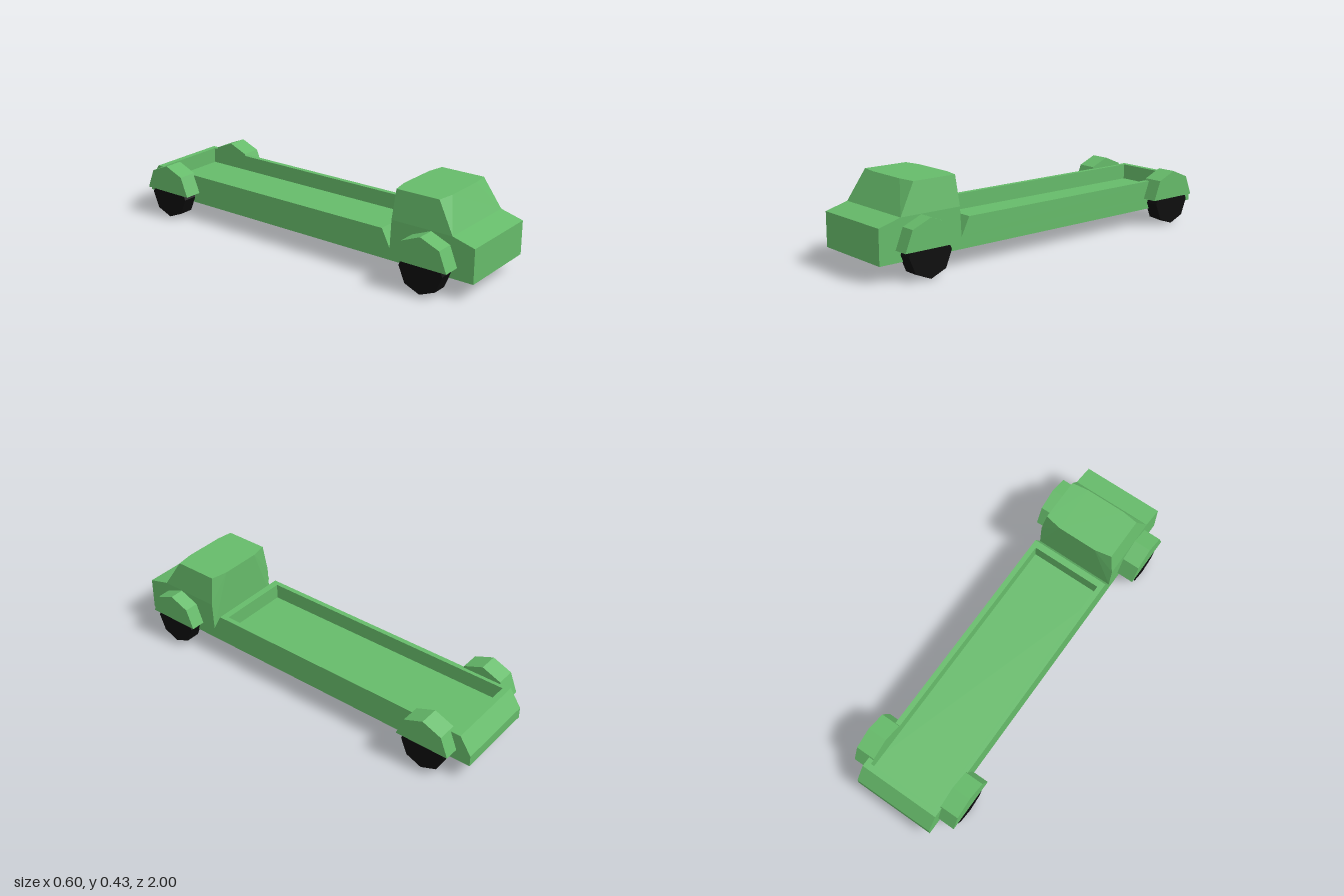
import * as THREE from 'three';
import { ConvexGeometry } from 'three/addons/geometries/ConvexGeometry.js';

const paint = new THREE.MeshStandardMaterial({ color: 0x66bb6a, flatShading: true });
const rubber = new THREE.MeshStandardMaterial({ color: 0x0d0d0d, flatShading: true });

// Body sides (the body sits slightly off centre)
const LEFT = 0.223, RIGHT = -0.207, MID = 0.008;

// Extrudes a side profile of [z, y] points across the width from x0 to x1
function acrossX(profile, x0, x1) {
  const shape = new THREE.Shape(profile.map(([z, y]) => new THREE.Vector2(z, y)));
  const geo = new THREE.ExtrudeGeometry(shape, { depth: x1 - x0, bevelEnabled: false });
  return geo.rotateY(-Math.PI / 2).translate(x1, 0, 0);
}

export function createModel() {
  const model = new THREE.Group();
  const add = (parent, name, geo, mat = paint) => {
    const mesh = new THREE.Mesh(geo, mat);
    mesh.name = name;
    parent.add(mesh);
    return mesh;
  };

  // Chassis with hood at the front and the bed floor behind
  add(model, 'chassisAndHood', acrossX([
    [1, 0.083], [1, 0.252], [0.885, 0.283], [0.87, 0.14], [0.475, 0.14], [0.475, 0.15],
    [-0.91, 0.15], [-0.91, 0.14], [-1, 0.14], [-1, 0.083],
  ], RIGHT, LEFT));

  // Cab: straight lower walls, tapering to a roof with bowed front and back edges
  const pts = [];
  for (const s of [-1, 1]) {
    const p = (x, y, z) => pts.push(new THREE.Vector3(MID + s * x, y, z));
    p(0.215, 0.14, 0.555);
    p(0.215, 0.14, 0.885);
    p(0.215, 0.283, 0.562);
    p(0.215, 0.283, 0.885);
    p(0.192, 0.428, 0.57);
    p(0.192, 0.428, 0.798);
    p(0.105, 0.428, 0.553);
    p(0.105, 0.428, 0.81);
  }
  add(model, 'cab', new ConvexGeometry(pts));

  // Bed walls around the open bed
  const bed = new THREE.Group();
  bed.name = 'bedWalls';
  model.add(bed);
  const side = [[0.555, 0.14], [0.51, 0.23], [-0.94, 0.23], [-1, 0.14]];
  const innerL = 0.197, innerR = -0.181;
  add(bed, 'leftBedWall', acrossX(side, innerL, LEFT));
  add(bed, 'rightBedWall', acrossX(side, RIGHT, innerR));
  add(bed, 'frontBedWall', acrossX([[0.555, 0.14], [0.51, 0.23], [0.475, 0.23], [0.475, 0.14]], innerR, innerL));
  add(bed, 'tailBedWall', acrossX([[-0.91, 0.14], [-0.91, 0.23], [-0.94, 0.23], [-1, 0.14]], innerR, innerL));

  // Fenders and eight-sided wheels at the four corners
  for (const [end, z] of [['front', 0.775], ['rear', -0.785]]) {
    for (const [name, s] of [['Left', 1], ['Right', -1]]) {
      const arch = [[0.14, 0.14], [0.1, 0.24], [0, 0.281], [-0.1, 0.24], [-0.14, 0.14]]
        .map(([dz, y]) => [z + dz, y]);
      const [x0, x1] = s > 0 ? [0.197, 0.298] : [-0.298, -0.2];
      add(model, `${end}${name}Fender`, acrossX(arch, x0, x1));

      const wheel = new THREE.CylinderGeometry(0.115, 0.115, 0.075, 8).rotateZ(Math.PI / 2);
      add(model, `${end}${name}Wheel`, wheel, rubber).position.set(s * 0.251, 0.116, z);
    }
  }
  return model;
}
